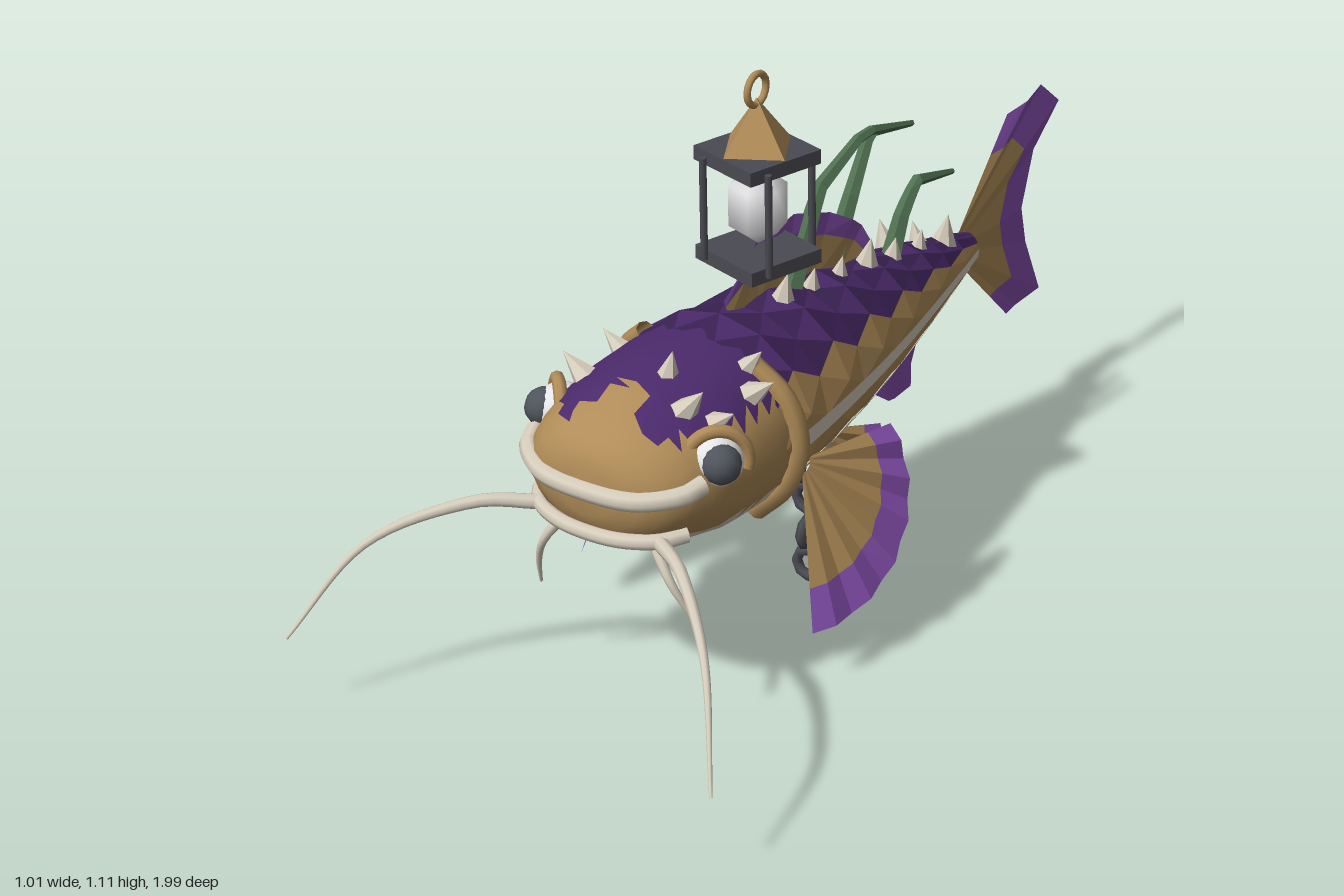
import * as THREE from 'three';

const V = (x, y, z) => new THREE.Vector3(x, y, z);
const mat = (name, color, side = THREE.FrontSide) => {
  const m = new THREE.MeshStandardMaterial({ color, side });
  m.name = name;
  return m;
};

// Body sections along the spine: s, top, bottom, half width
const SECTIONS = [
  [-0.67, 0.492, 0.425, 0.025], [-0.55, 0.525, 0.395, 0.055], [-0.4, 0.562, 0.362, 0.09],
  [-0.25, 0.597, 0.335, 0.125], [-0.1, 0.625, 0.315, 0.155], [0.05, 0.645, 0.302, 0.18],
  [0.17, 0.655, 0.295, 0.195], [0.27, 0.66, 0.294, 0.205], [0.38, 0.65, 0.305, 0.208],
  [0.47, 0.632, 0.33, 0.2], [0.54, 0.605, 0.355, 0.178], [0.58, 0.582, 0.38, 0.145],
  [0.6, 0.56, 0.405, 0.11], [0.61, 0.53, 0.435, 0.06], [0.613, 0.485, 0.48, 0.003],
];
function section(s) {
  let i = 0;
  while (i < SECTIONS.length - 2 && SECTIONS[i + 1][0] < s) i++;
  const a = SECTIONS[i], b = SECTIONS[i + 1];
  const t = THREE.MathUtils.clamp((s - a[0]) / (b[0] - a[0]), 0, 1);
  return [1, 2, 3].map(k => a[k] + (b[k] - a[k]) * t);
}
// Point on the skin; theta 0 is the fish's left, PI/2 its back
function skin(s, theta, scale = 1, off = 0) {
  const [top, bot, hw] = section(s);
  return V((hw * scale + off) * Math.cos(theta),
    (top + bot) / 2 + ((top - bot) / 2 * scale + off) * Math.sin(theta), s);
}

// Lofts the skin and sorts its triangles into material groups; pick -1 leaves a gap
function loft(rows, n, stagger, scale, pick) {
  const pos = [], lists = [[], [], [], []], step = Math.PI * 2 / n;
  const ang = (j, i) => (i + (stagger && j % 2 ? 0.5 : 0)) * step;
  rows.forEach((s, j) => {
    for (let i = 0; i < n; i++) pos.push(...skin(s, ang(j, i), scale(j, ang(j, i))).toArray());
  });
  const tri = (up, ...c) => {
    const s = c.reduce((t, [j]) => t + rows[j], 0) / 3;
    const th = c.reduce((t, [j, i]) => t + ang(j, i), 0) / 3;
    const k = pick(s, th, up);
    if (k >= 0) lists[k].push(...c.map(([j, i]) => j * n + i % n));
  };
  for (let j = 0; j < rows.length - 1; j++) for (let i = 0; i < n; i++) {
    const a = [j, i], b = [j, i + 1], c = [j + 1, i], d = [j + 1, i + 1];
    if (stagger && j % 2) { tri(false, a, d, c); tri(true, a, b, d); }
    else { tri(true, a, b, c); tri(false, b, d, c); }
  }
  let g = new THREE.BufferGeometry();
  g.setAttribute('position', new THREE.Float32BufferAttribute(pos, 3));
  g.setIndex(lists.flat());
  let start = 0;
  lists.forEach((l, k) => { g.addGroup(start, l.length, k); start += l.length; });
  if (stagger) g = g.toNonIndexed();
  g.computeVertexNormals();
  return g;
}

// Tube whose radius runs from r0 to r1
function taperTube(points, r0, r1, segs, sides, tension = 0.5) {
  const curve = new THREE.CatmullRomCurve3(points, false, 'catmullrom', tension);
  const g = new THREE.TubeGeometry(curve, segs, r0, sides), p = g.attributes.position, v = V();
  for (let i = 0; i <= segs; i++) {
    const c = curve.getPointAt(i / segs), k = (r0 + (r1 - r0) * i / segs) / r0;
    for (let j = 0; j <= sides; j++) {
      const q = i * (sides + 1) + j;
      v.fromBufferAttribute(p, q).sub(c).multiplyScalar(k).add(c);
      p.setXYZ(q, v.x, v.y, v.z);
    }
  }
  return g;
}

// Pleated fin between a base line and a tip line: web first, then rim
function finGeometry(base, tip, pleat, split) {
  const pos = [];
  const at = (i, t) => base[i].clone().lerp(tip[i], t).addScaledVector(pleat, i % 2 ? t : -t);
  const band = (t0, t1) => {
    for (let i = 0; i < base.length - 1; i++) {
      const a = at(i, t0), b = at(i + 1, t0), c = at(i, t1), d = at(i + 1, t1);
      for (const v of [a, c, d, a, d, b]) pos.push(v.x, v.y, v.z);
    }
    return pos.length / 3;
  };
  const n0 = band(0, split), n1 = band(split, 1);
  const g = new THREE.BufferGeometry();
  g.setAttribute('position', new THREE.Float32BufferAttribute(pos, 3));
  g.addGroup(0, n0, 0);
  g.addGroup(n0, n1 - n0, 1);
  g.computeVertexNormals();
  return g;
}

export function createModel() {
  const purple = mat('deep purple', 0x4b2a6b), darkPurple = mat('dark scale purple', 0x3a2153);
  const finPurple = mat('fin purple', 0x8750b0, THREE.DoubleSide);
  const tan = mat('tan', 0xb08c58, THREE.DoubleSide), bone = mat('bone', 0xd6cdbc, THREE.DoubleSide);
  const iron = mat('iron', 0x4a4a52), green = mat('weed green', 0x4f7050);
  const glass = mat('lamp white', 0xe6e6e8), eyeGrey = mat('eye grey', 0x50545c);
  const model = new THREE.Group(), fish = new THREE.Group();
  fish.name = 'fish';
  fish.position.x = -0.2;
  fish.rotation.y = 0.28;
  model.add(fish);
  const add = (parent, name, geo, m, p) => {
    const mesh = new THREE.Mesh(geo, m);
    mesh.name = name;
    if (p) mesh.position.copy(p);
    parent.add(mesh);
    return mesh;
  };

  // Scaled body, smooth belly and smooth head
  const skins = [purple, tan, bone, darkPurple];
  const bodyRows = Array.from({ length: 13 }, (_, i) => -0.67 + i * 0.0785);
  add(fish, 'body', loft(bodyRows, 14, true, (j, th) => Math.sin(th) > -0.4 && j % 2 ? 1.06 : 1,
    (s, th, up) => Math.sin(th) > 0.46 ? (up ? 0 : 3) : 1), skins);
  add(fish, 'belly', loft(bodyRows, 28, false, () => 1.012, (s, th) => Math.sin(th) < -0.52 ? 2 : -1), skins);
  const headRows = [0.25, 0.3, 0.34, 0.38, 0.425, 0.45, 0.47, 0.49, 0.515, 0.54, 0.56, 0.58, 0.6, 0.61, 0.613];
  add(fish, 'head', loft(headRows, 28, false, () => 1, (s, th) =>
    Math.sin(th) > 0.56 && s < 0.5 - 0.05 * Math.cos((th - Math.PI / 2) * 6) ? 0 : skin(s, th).y < 0.388 ? 2 : 1), skins);

  // Lips
  const arch = half => [...half.map(([x, y, z]) => V(-x, y, z)), ...half.slice(0, -1).reverse().map(([x, y, z]) => V(x, y, z))];
  add(fish, 'upperLip', taperTube(arch([[0.188, 0.51, 0.51], [0.168, 0.499, 0.555], [0.1, 0.49, 0.602], [0, 0.488, 0.613]]), 0.019, 0.019, 24, 8), bone);
  add(fish, 'lowerLip', taperTube(arch([[0.165, 0.41, 0.53], [0.132, 0.406, 0.575], [0.07, 0.402, 0.602], [0, 0.4, 0.608]]), 0.015, 0.015, 24, 8), bone);

  for (const side of [-1, 1]) {
    const P = (x, y, z) => V(side * x, y, z);

    // Lateral stripe
    const stripe = [], idx = [];
    for (let i = 0; i <= 12; i++) {
      const s = -0.66 + i * 0.0755, [top, bot, hw] = section(s), h = 0.008 + 0.009 * i / 12;
      const x = side * (hw * 1.035 + 0.003), y = (top + bot) / 2;
      stripe.push(x, y - h, s, x, y + h, s);
      if (i) { const k = i * 2; idx.push(...(side > 0 ? [k - 2, k - 1, k, k - 1, k + 1, k] : [k - 2, k, k - 1, k - 1, k, k + 1])); }
    }
    const sg = new THREE.BufferGeometry();
    sg.setAttribute('position', new THREE.Float32BufferAttribute(stripe, 3));
    sg.setIndex(idx);
    sg.computeVertexNormals();
    add(fish, 'lateralStripe', sg, bone);

    // Gill cover rim
    const gill = [-0.95, -0.5, 0, 0.5, 0.95].map(th => {
      const v = skin(0.265 - 0.03 * Math.cos(th * 1.5), th);
      return P(v.x, v.y, v.z);
    });
    add(fish, 'gillRim', taperTube(gill, 0.028, 0.02, 16, 8), tan);

    // Eye with brow
    const eye = new THREE.Group();
    eye.name = 'eye';
    eye.position.copy(P(0.172, 0.53, 0.45));
    eye.quaternion.setFromUnitVectors(V(0, 0, 1), P(0.72, 0.05, 0.69).normalize());
    add(eye, 'eyeball', new THREE.SphereGeometry(0.052, 16, 12), glass);
    add(eye, 'iris', new THREE.SphereGeometry(0.038, 12, 8), eyeGrey, V(side * 0.004, 0.004, 0.032));
    add(eye, 'brow', new THREE.TorusGeometry(0.058, 0.013, 8, 18, Math.PI * 1.25), tan, V(0, 0, 0.008))
      .rotation.z = side > 0 ? -0.3 : 0.2;
    fish.add(eye);

    // Whiskers
    add(fish, 'longWhisker', taperTube([P(0.13, 0.405, 0.57), P(0.24, 0.405, 0.65), P(0.38, 0.335, 0.78), P(0.475, 0.165, 0.9)], 0.015, 0.003, 20, 8), bone);
    add(fish, 'chinWhisker', taperTube([P(0.09, 0.39, 0.54), P(0.14, 0.32, 0.555), P(0.168, 0.26, 0.54), P(0.185, 0.195, 0.515)], 0.012, 0.003, 12, 8), bone);

    // Paired fins
    const pair = (name, root, out, a0, a1, r0, r1, n) => {
      const down = P(out, -0.95, 0), back = P(0.25, 0, -0.97), tip = [];
      for (let i = 0; i <= n; i++) {
        const t = i / n, a = a0 + (a1 - a0) * t, r = r0 + (r1 - r0) * t;
        tip.push(root.clone().addScaledVector(down, Math.cos(a) * r).addScaledVector(back, Math.sin(a) * r));
      }
      const start = tip.map(p => root.clone().lerp(p, 0.08));
      add(fish, name, finGeometry(start, tip, P(0.005, 0.002, 0.002), 0.72), [tan, finPurple]);
    };
    pair('pectoralFin', P(0.185, 0.42, 0.2), 0.35, -0.28, 1.55, 0.33, 0.225, 12);
    pair('pelvicFin', P(0.07, 0.35, -0.02), 0.1, -0.05, 1.3, 0.18, 0.17, 8);
  }

  // Dorsal, anal and tail fins, all in the fish's middle plane
  const flat = list => list.map(([z, y]) => V(0, y, z));
  const mid = (name, base, tip, split) => add(fish, name, finGeometry(flat(base), flat(tip), V(0.006, 0, 0), split), [tan, finPurple]);
  const dorsal = [[0.17, 0.68], [0.12, 0.73], [0.06, 0.762], [0, 0.772], [-0.06, 0.768], [-0.12, 0.75], [-0.18, 0.725], [-0.24, 0.69], [-0.29, 0.655], [-0.31, 0.61]];
  mid('dorsalFin', dorsal.map((_, i) => [0.16 - i * 0.045, section(0.16 - i * 0.045)[0] - 0.015]), dorsal, 0.68);
  const anal = [[-0.33, 0.27], [-0.37, 0.24], [-0.41, 0.225], [-0.45, 0.24], [-0.47, 0.28], [-0.47, 0.33], [-0.45, 0.375]];
  mid('analFin', anal.map((_, i) => [-0.31 - i * 0.018, 0.365 + i * 0.004]), anal, 0.55);
  const tail = [[-0.85, 0.68], [-0.91, 0.69], [-0.985, 0.697], [-1.04, 0.645], [-0.96, 0.56], [-0.895, 0.455], [-0.935, 0.36], [-0.975, 0.24], [-0.9, 0.228], [-0.84, 0.235]];
  mid('tailFin', tail.map((_, i) => [-0.655, 0.495 - i * 0.008]), tail, 0.65).rotation.y = 0.02;

  // Spikes on the head and in a zigzag along the ridge
  const spike = (s, th, h) => {
    const p = skin(s, th), n = p.clone().sub(skin(s, th, 0.5)).normalize();
    const g = new THREE.ConeGeometry(h * 0.4, h, 6).toNonIndexed();
    g.computeVertexNormals();
    add(fish, 'spike', g, bone, p.addScaledVector(n, h * 0.35)).quaternion.setFromUnitVectors(V(0, 1, 0), n);
  };
  [[0.45, 1.0], [0.42, 0.72], [0.4, 1.4], [0.31, 0.72], [0.3, 2.4], [0.27, 0.95], [0.42, 2.35]]
    .forEach(([s, th], i) => spike(s, th, i % 3 ? 0.055 : 0.07));
  for (let i = 0; i < 13; i++) spike(0.04 - i * 0.05, Math.PI / 2 + (i % 2 ? 0.32 : -0.2), i % 3 ? 0.05 : 0.07);

  // Water weed growing from the back
  [[[0.01, 0.61, -0.02], [0.01, 0.8, -0.12], [0.02, 0.87, -0.26], [0.03, 0.835, -0.41]],
    [[-0.02, 0.59, -0.2], [-0.02, 0.73, -0.28], [-0.04, 0.815, -0.37], [-0.05, 0.77, -0.53]],
    [[0.01, 0.54, -0.36], [0.01, 0.64, -0.41], [0.01, 0.69, -0.46], [0.01, 0.66, -0.59]]].forEach(pts => {
    const g = taperTube(pts.map(p => V(...p)), 0.022, 0.006, 12, 5, 0).toNonIndexed();
    g.computeVertexNormals();
    add(fish, 'weedBlade', g, green);
  });

  // Lantern
  const lantern = new THREE.Group();
  lantern.name = 'lantern';
  lantern.position.set(-0.18, 0, 0.065);
  model.add(lantern);
  for (const y of [0.739, 0.94]) add(lantern, 'lanternPlate', new THREE.BoxGeometry(0.166, 0.028, 0.166), iron, V(0, y, 0));
  const posts = new THREE.Group();
  posts.name = 'lanternPosts';
  posts.rotation.y = 0.3;
  for (const x of [-1, 1]) for (const z of [-1, 1])
    add(posts, 'lanternPost', new THREE.CylinderGeometry(0.007, 0.007, 0.205, 6), iron, V(x * 0.072, 0.84, z * 0.072));
  lantern.add(posts);
  const roof = new THREE.ConeGeometry(0.08, 0.1, 4).toNonIndexed();
  roof.computeVertexNormals();
  add(lantern, 'lanternRoof', roof, tan, V(0, 1.003, 0));
  add(lantern, 'lanternRing', new THREE.TorusGeometry(0.03, 0.007, 8, 16), tan, V(0, 1.069, 0)).rotation.y = Math.PI / 2 + 0.28;
  add(lantern, 'lampGlobe', new THREE.SphereGeometry(0.064, 6, 3), glass, V(0, 0.84, 0)).scale.y = 1.25;

  // Hanging chain
  for (let i = 0; i < 4; i++) {
    const link = add(model, 'chainLink', new THREE.TorusGeometry(0.029, 0.011, 6, 8), iron, V(-0.17, 0.04 + i * 0.073, -0.045));
    link.rotation.y = (i % 2 ? Math.PI / 2 : 0) + 0.28;
  }
  return model;
}
